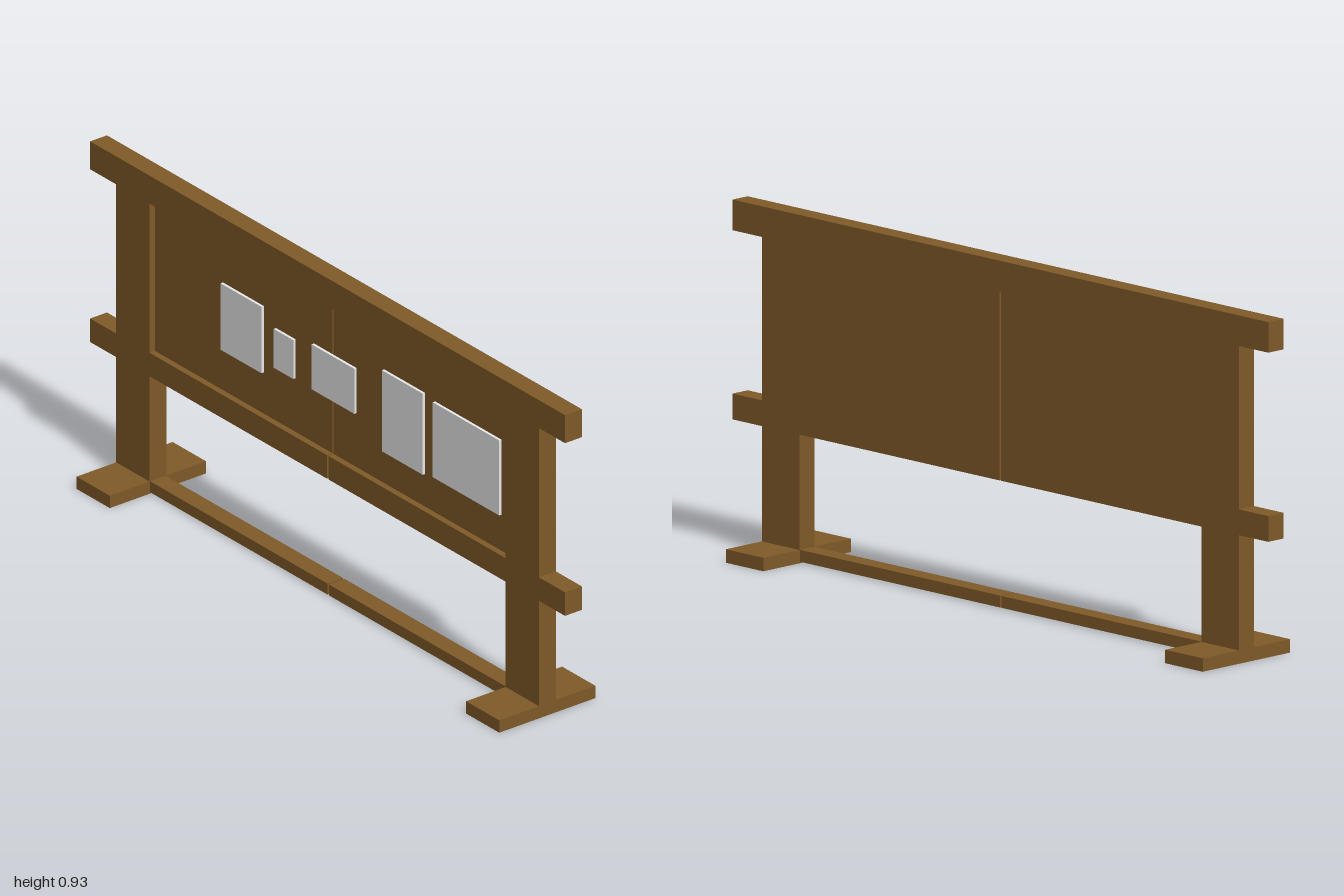
import * as THREE from 'three';

export function createModel() {
  const group = new THREE.Group();
  group.name = 'noticeBoard';

  const wood = new THREE.MeshStandardMaterial({ color: 0x7f5a28 });
  wood.name = 'brown wood';
  const paper = new THREE.MeshStandardMaterial({ color: 0xf0f0f0 });
  paper.name = 'white paper';

  // Box given by its limits along each axis
  function box(name, material, [x0, x1], [y0, y1], [z0, z1]) {
    const mesh = new THREE.Mesh(new THREE.BoxGeometry(x1 - x0, y1 - y0, z1 - z0), material);
    mesh.position.set((x0 + x1) / 2, (y0 + y1) / 2, (z0 + z1) / 2);
    mesh.name = name;
    group.add(mesh);
  }

  const HALF = 0.028;    // half thickness of the frame
  const GAP = 0.003;     // half width of the slit between the two halves
  const PANEL_X = -0.01; // recessed face of the panels
  const frame = [-HALF, HALF];

  box('topBeam', wood, frame, [0.852, 0.934], [-1, 1]);

  // Two mirrored halves
  for (const side of [-1, 1]) {
    const span = (a, b) => (side > 0 ? [a, b] : [-b, -a]);
    const end = side > 0 ? 'front' : 'back';
    box(end + 'Foot', wood, [-0.16, 0.16], [0, 0.036], span(0.75, 0.89));
    box(end + 'LowerPost', wood, frame, [0.036, 0.345], span(0.75, 0.89));
    box(end + 'UpperPost', wood, frame, [0.414, 0.852], span(0.75, 0.89));
    box(end + 'MiddleRail', wood, frame, [0.345, 0.414], span(GAP, 1));
    box(end + 'Stretcher', wood, [-0.026, 0.026], [0.004, 0.036], span(GAP, 0.75));
    box(end + 'Panel', wood, [PANEL_X, HALF], [0.414, 0.852], span(GAP, 0.75));
  }

  // Sheets pinned to the recessed face: z range, y range
  const sheets = [
    [[-0.463, -0.291], [0.535, 0.73]],
    [[-0.24, -0.157], [0.572, 0.686]],
    [[-0.08, 0.1], [0.573, 0.705]],
    [[0.216, 0.388], [0.51, 0.748]],
    [[0.43, 0.71], [0.52, 0.74]],
  ];
  sheets.forEach(([z, y], i) => box('paperSheet' + (i + 1), paper, [PANEL_X - 0.008, PANEL_X], y, z));

  return group;
}
